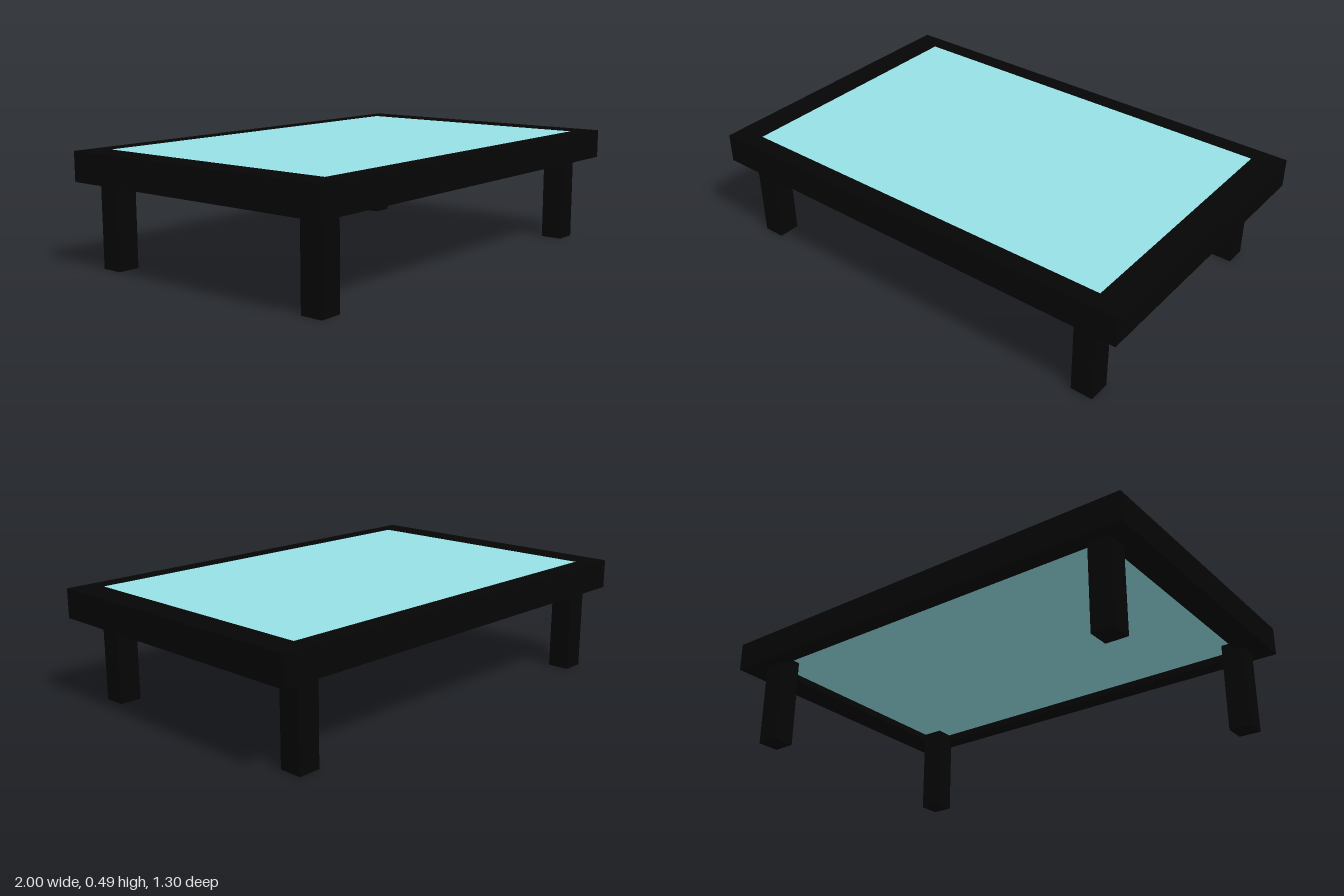
import * as THREE from 'three';

export function createModel() {
  const table = new THREE.Group();
  table.name = 'coffeeTable';
  const wood = new THREE.MeshStandardMaterial({ color: 0x050505 });
  const glass = new THREE.MeshStandardMaterial({ color: 0x96e1e6 });

  const bottom = 0.367, top = 0.493, glassBottom = 0.397;
  const outerX = 1, outerZ = 0.65, innerX = 0.877, innerZ = 0.57;

  // Rectangular frame with an open middle, extruded upwards
  const rectangle = (path, x, z) =>
    path.moveTo(-x, -z).lineTo(x, -z).lineTo(x, z).lineTo(-x, z).closePath();
  const outline = rectangle(new THREE.Shape(), outerX, outerZ);
  outline.holes.push(rectangle(new THREE.Path(), innerX, innerZ));
  const frameGeometry = new THREE.ExtrudeGeometry(outline, { depth: top - bottom, bevelEnabled: false });
  frameGeometry.rotateX(-Math.PI / 2);
  const frame = new THREE.Mesh(frameGeometry, wood);
  frame.name = 'frame';
  frame.position.y = bottom;
  table.add(frame);

  // Glass panel, flush with the top of the frame and slightly recessed underneath
  const panel = new THREE.Mesh(new THREE.BoxGeometry(innerX * 2, top - glassBottom, innerZ * 2), glass);
  panel.name = 'glassTop';
  panel.position.y = (top + glassBottom) / 2;
  table.add(panel);

  // Four square legs reaching up to the glass, set slightly off centre
  const legGeometry = new THREE.BoxGeometry(0.097, glassBottom, 0.097);
  for (const [side, x] of [['Right', -0.868], ['Left', 0.832]]) {
    for (const [end, z] of [['front', 0.538], ['back', -0.545]]) {
      const leg = new THREE.Mesh(legGeometry, wood);
      leg.name = `${end}${side}Leg`;
      leg.position.set(x, glassBottom / 2, z);
      table.add(leg);
    }
  }
  return table;
}
